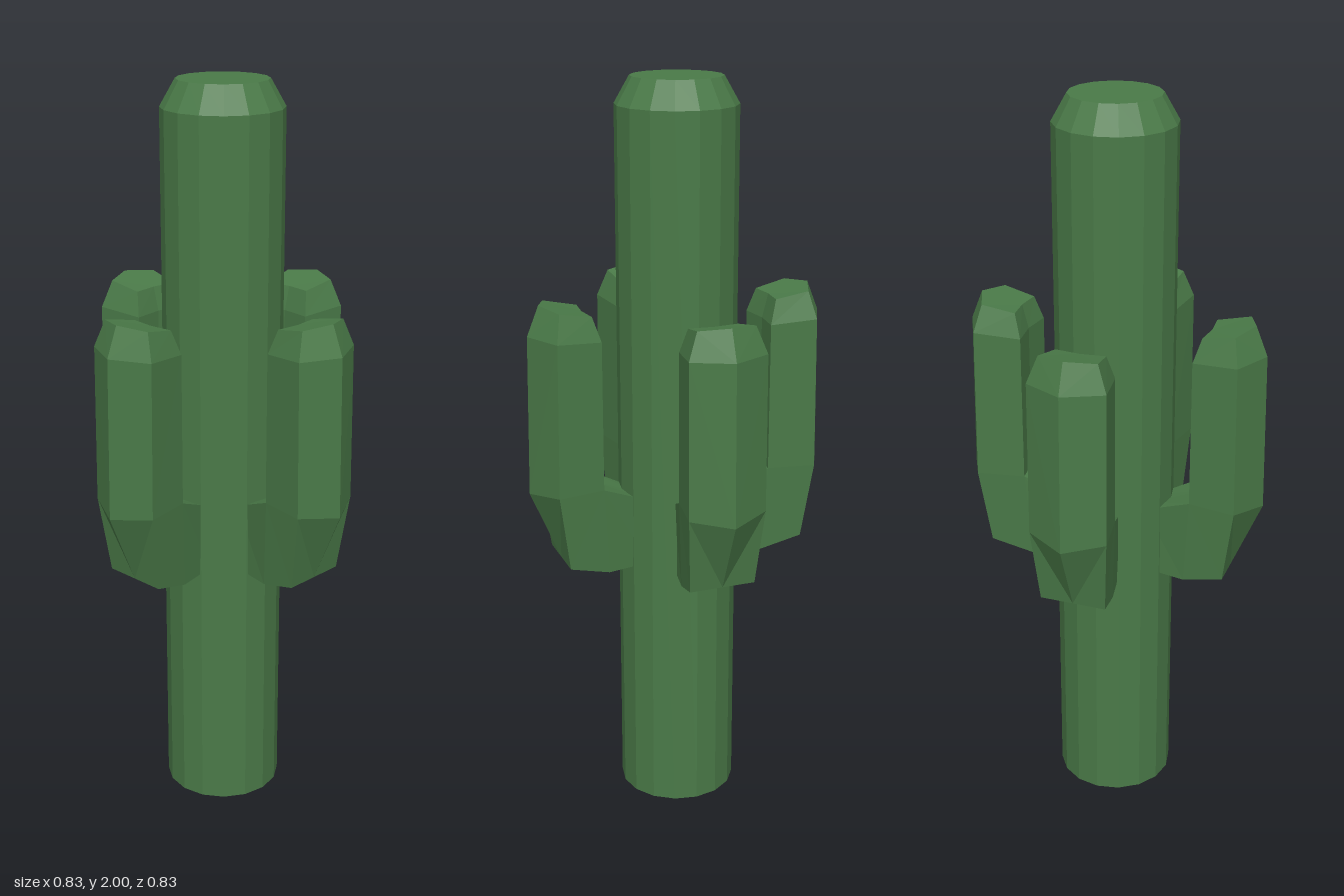
import * as THREE from 'three';

const material = new THREE.MeshStandardMaterial({ color: 0x4a7a48, flatShading: true });

// Each arm ring: [inner r, y, half width], [side r, y, half width], [outer r, y], inner middle r
const inner = [0.236, 0.945, 0.083];
const RINGS = [
  [[0.10, 0.885, 0.047], [0.10, 0.70, 0.047], [0.10, 0.70], 0.10],
  [inner, [0.22, 0.70, 0.07], [0.22, 0.70], 0.246],
  [inner, [0.335, 0.735, 0.09], [0.335, 0.735], 0.246],
  [inner, [0.365, 0.945, 0.105], [0.417, 0.93], 0.246],
  [[0.236, 1.35, 0.083], [0.36, 1.36, 0.105], [0.41, 1.36], 0.246],
  [[0.256, 1.415, 0.067], [0.345, 1.432, 0.078], [0.378, 1.44], 0.263],
];

// Six-point section: inner, side, ridge, side, inner, recessed inner middle
function section([a, s, t, mid]) {
  return [
    [a[0], a[1], a[2]], [s[0], s[1], s[2]], [t[0], t[1], 0],
    [s[0], s[1], -s[2]], [a[0], a[1], -a[2]], [mid, a[1], 0],
  ];
}

function armGeometry() {
  const rings = RINGS.map(section);
  const positions = [];
  const same = (p, q) => p.every((v, i) => v === q[i]);
  const tri = (p, q, r) => {
    if (!same(p, q) && !same(q, r) && !same(p, r)) positions.push(...p, ...q, ...r);
  };
  for (let k = 0; k < rings.length - 1; k++) {
    const a = rings[k], b = rings[k + 1];
    for (let i = 0; i < 6; i++) {
      const j = (i + 1) % 6;
      if (i === 1) { // mirrored diagonal keeps the outer ridge symmetric
        tri(a[i], a[j], b[i]);
        tri(a[j], b[j], b[i]);
      } else {
        tri(a[i], a[j], b[j]);
        tri(a[i], b[j], b[i]);
      }
    }
  }
  // Flat tip
  const cap = rings[rings.length - 1];
  for (let i = 0; i < 4; i++) tri(cap[5], cap[i], cap[i + 1]);

  const geometry = new THREE.BufferGeometry();
  geometry.setAttribute('position', new THREE.Float32BufferAttribute(positions, 3));
  geometry.computeVertexNormals();
  return geometry;
}

export function createModel() {
  const group = new THREE.Group();
  group.name = 'cactus';

  // Sixteen-sided trunk with a bevelled top
  const profile = [[0, 0], [0.16, 0], [0.16, 1.93], [0.12, 2], [0, 2]];
  const trunk = new THREE.Mesh(
    new THREE.LatheGeometry(profile.map(([r, y]) => new THREE.Vector2(r, y)), 16),
    material
  );
  trunk.name = 'trunk';
  group.add(trunk);

  // Four identical arms, one on each side
  const geometry = armGeometry();
  ['leftArm', 'backArm', 'rightArm', 'frontArm'].forEach((name, i) => {
    const arm = new THREE.Mesh(geometry, material);
    arm.name = name;
    arm.rotation.y = (i * Math.PI) / 2;
    group.add(arm);
  });

  return group;
}
